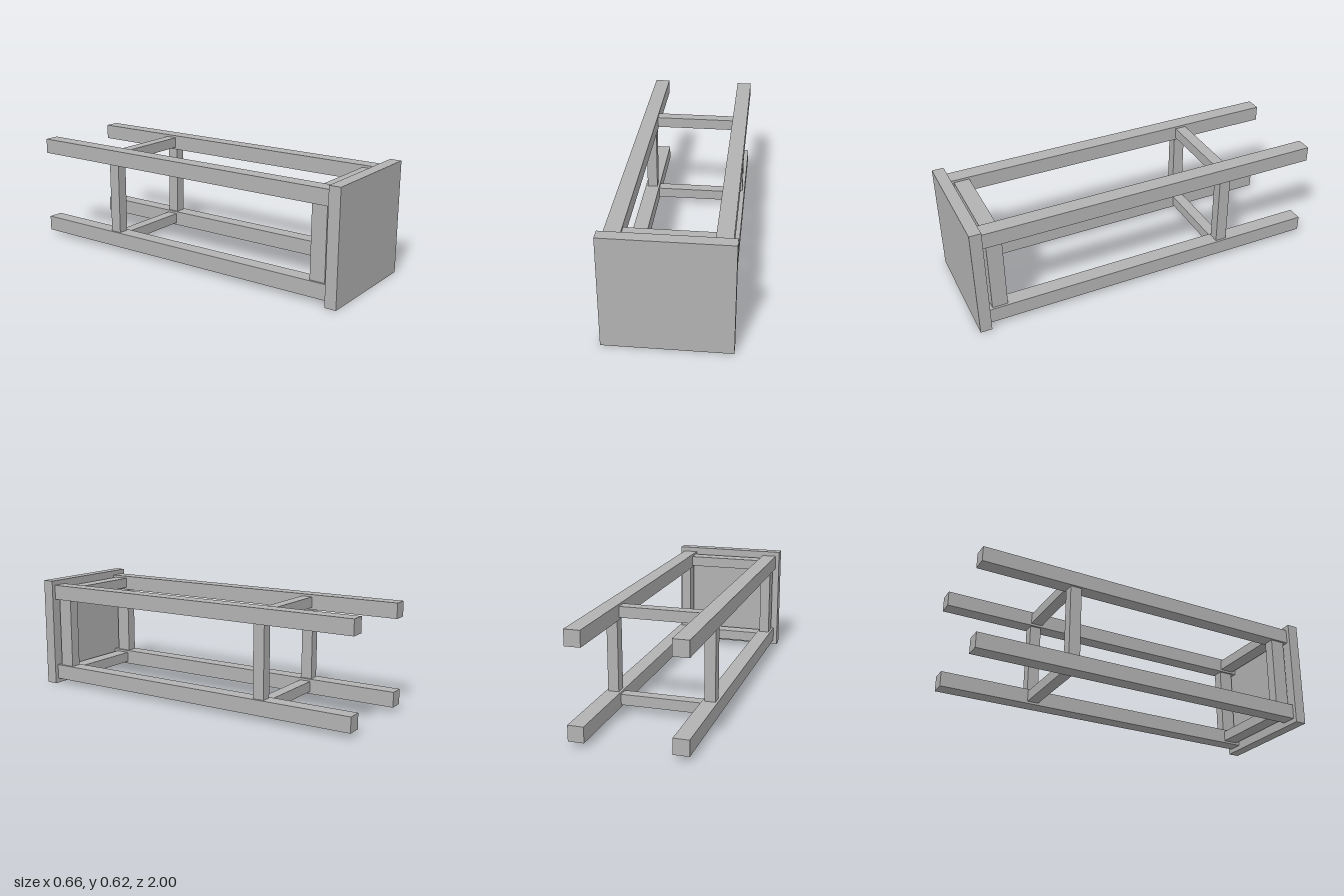
import * as THREE from 'three';

export function createModel() {
  const model = new THREE.Group();
  model.name = 'stoolOnItsSide';

  const grey = new THREE.MeshStandardMaterial({ color: 0xb2b2b2 });
  grey.name = 'grey';

  const midY = 0.312; // height of the stool's long axis
  const seatThickness = 0.064;
  const legSize = 0.085;
  const legX = 0.267;
  const legY = 0.2425;
  const legLength = 2 - seatThickness;

  const box = (name, w, h, d, x, y, z) => {
    const mesh = new THREE.Mesh(new THREE.BoxGeometry(w, h, d), grey);
    mesh.name = name;
    mesh.position.set(x, midY + y, z);
    model.add(mesh);
  };

  // Square seat board, facing forward
  box('seat', 0.664, 0.624, seatThickness, 0, 0, 1 - seatThickness / 2);

  // Four legs running back from the seat
  for (const sx of [-1, 1]) {
    for (const sy of [-1, 1]) {
      box('leg', legSize, legSize, legLength, sx * legX, sy * legY, -seatThickness / 2);
    }
  }

  // Two rings of rails between the legs: deep ones by the seat, slim ones lower down
  const rings = [
    { name: 'seatRail', z: 0.871, depth: 0.085 },
    { name: 'stretcher', z: -0.467, depth: 0.064 },
  ];
  const thickness = 0.06;
  for (const { name, z, depth } of rings) {
    for (const s of [-1, 1]) {
      box(name, 2 * legX - legSize, thickness, depth, 0, s * legY, z);
      box(name, thickness, 2 * legY - legSize, depth, s * legX, 0, z);
    }
  }

  return model;
}
